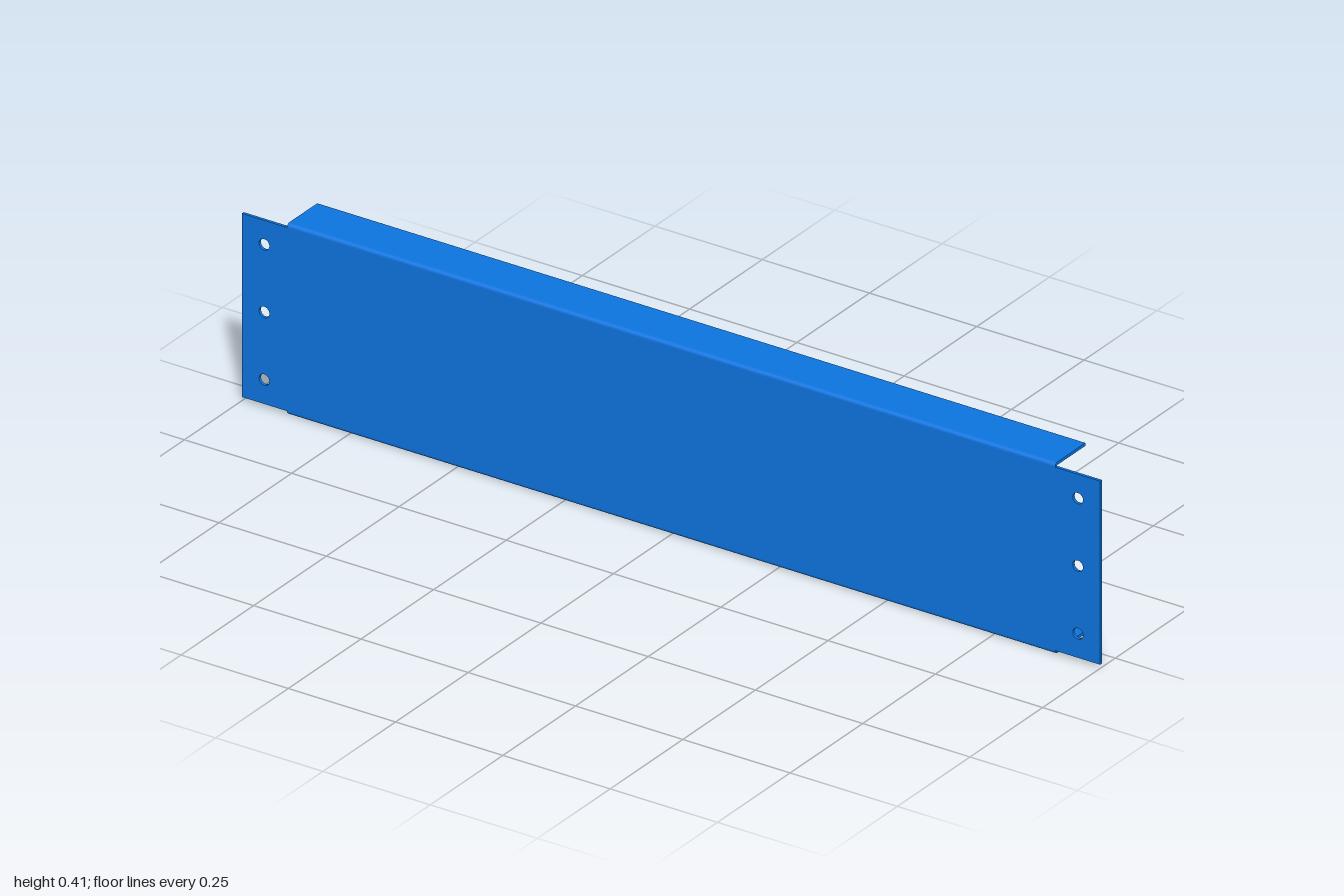
import * as THREE from 'three';

const H = 0.415;       // overall height
const T = 0.0065;      // sheet thickness
const R = 0.008;       // outer bend radius
const FRONT = 0.052;   // front face z
const BACK = -0.052;   // rear edge of the flanges
const FLANGE = 1.79;   // flange length

export function createModel() {
  const group = new THREE.Group();
  group.name = 'channelPanel';
  const material = new THREE.MeshStandardMaterial({ color: 0x0d75e0 });

  const add = (name, geometry) => {
    const mesh = new THREE.Mesh(geometry, material);
    mesh.name = name;
    group.add(mesh);
  };

  // Front plate with three bolt holes at each end
  const plate = new THREE.Shape();
  plate.moveTo(-1, R);
  plate.lineTo(1, R);
  plate.lineTo(1, H - R);
  plate.lineTo(-1, H - R);
  plate.closePath();
  for (const x of [-0.948, 0.948]) {
    for (const dy of [-0.147, 0, 0.147]) {
      const hole = new THREE.Path();
      hole.absarc(x, H / 2 + dy, 0.012, 0, Math.PI * 2, true);
      plate.holes.push(hole);
    }
  }
  const plateGeometry = new THREE.ExtrudeGeometry(plate, { depth: T, bevelEnabled: false, curveSegments: 12 });
  plateGeometry.translate(0, 0, FRONT - T);
  add('frontPlate', plateGeometry);

  // Folded flange: bent section (z, y) run along x; mirrored for the top
  const flange = (top) => {
    const points = [[BACK, T], [BACK, 0]];
    const arc = (radius, from, to) => {
      for (let i = 0; i <= 8; i++) {
        const a = from + ((to - from) * i) / 8;
        points.push([FRONT - R + radius * Math.cos(a), R + radius * Math.sin(a)]);
      }
    };
    arc(R, -Math.PI / 2, 0);
    arc(R - T, 0, -Math.PI / 2);
    const shape = new THREE.Shape(points.map(([z, y]) => new THREE.Vector2(z, top ? H - y : y)));
    const geometry = new THREE.ExtrudeGeometry(shape, { depth: FLANGE, bevelEnabled: false });
    geometry.translate(0, 0, -FLANGE / 2);
    geometry.rotateY(-Math.PI / 2);
    return geometry;
  };
  add('bottomFlange', flange(false));
  add('topFlange', flange(true));

  return group;
}
